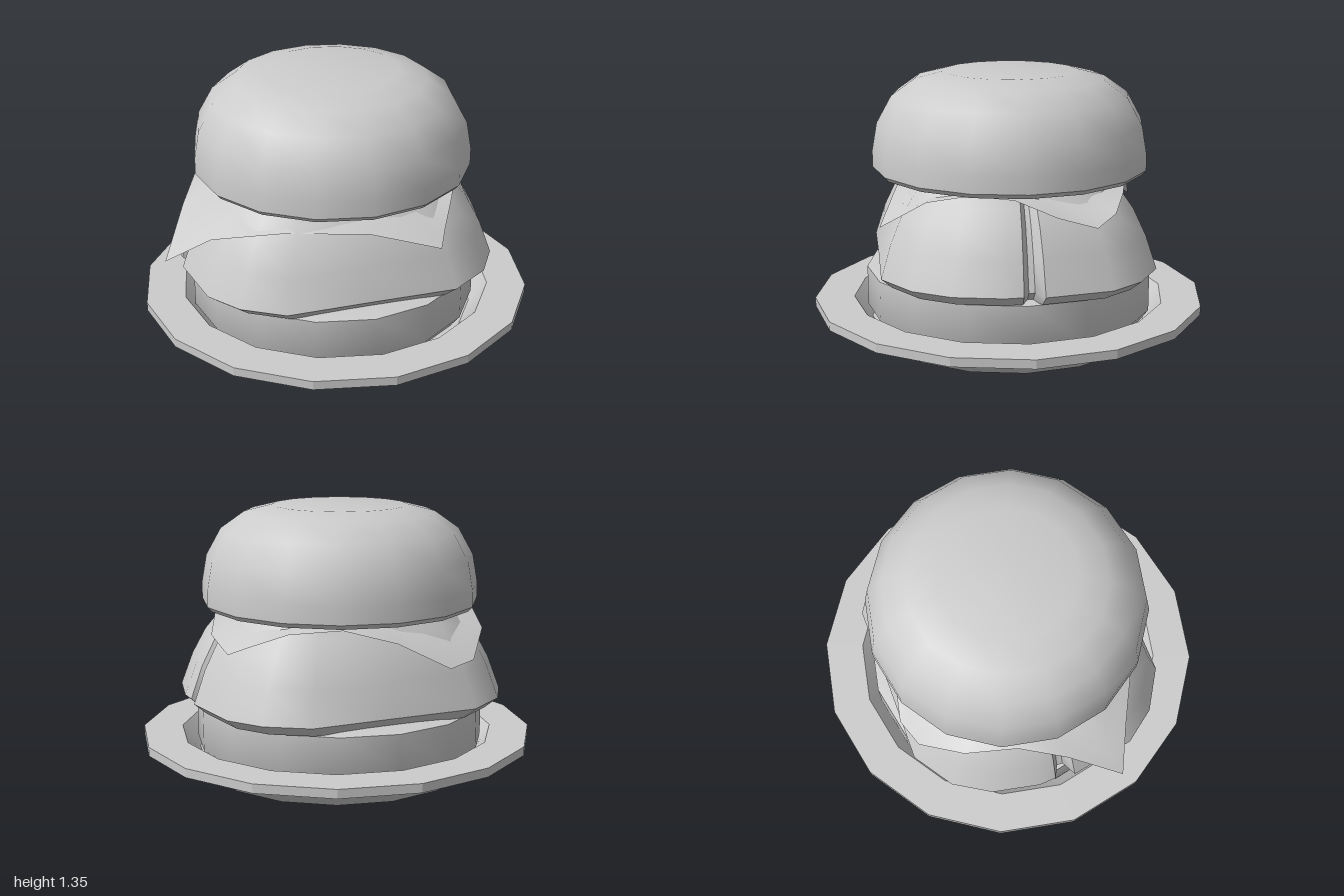
import * as THREE from 'three';
import { toCreasedNormals } from 'three/addons/utils/BufferGeometryUtils.js';

const SIDES = 16;
const material = new THREE.MeshStandardMaterial({ color: 0xcccccc });
const thinMaterial = new THREE.MeshStandardMaterial({ color: 0xcccccc, side: THREE.DoubleSide });

function addMesh(group, name, geometry, crease, mat = material) {
  const mesh = new THREE.Mesh(toCreasedNormals(geometry, crease), mat);
  mesh.name = name;
  group.add(mesh);
  return mesh;
}

// Turned part from [radius, y] pairs, bottom to top
function turned(profile) {
  return new THREE.LatheGeometry(profile.map(([r, y]) => new THREE.Vector2(r, y)), SIDES);
}

// Skin over closed rings of [x, y, z] points, listed bottom to top
function skin(rings) {
  const n = rings[0].length;
  const index = [];
  for (let j = 0; j < rings.length - 1; j++) {
    for (let i = 0; i < n; i++) {
      const k = (i + 1) % n;
      const a = j * n + i, b = j * n + k, c = b + n, d = a + n;
      index.push(a, b, d, b, c, d);
    }
  }
  const geometry = new THREE.BufferGeometry();
  geometry.setAttribute('position', new THREE.Float32BufferAttribute(rings.flat(2), 3));
  geometry.setIndex(index);
  geometry.computeVertexNormals();
  return geometry;
}

// Filling: flat front and back, a narrow notch in each side
function fillingGeometry() {
  const half = [
    [0, 0.675], [0.43, 0.675], [0.63, 0.54], [0.74, 0.36], [0.79, 0.12], [0.785, 0.03], [0.725, 0],
    [0.725, -0.03], [0.8, -0.07], [0.74, -0.4], [0.62, -0.56], [0.42, -0.68],
  ];
  const outline = [...half, ...half.map(([x, z]) => [-x, -z])];
  const levels = [
    [0, 0.35], [0.92, 0.35], [1, 0.405], [0.925, 0.57], [0.84, 0.7], [0.76, 0.78], [0.69, 0.845], [0, 0.85],
  ];
  return skin(levels.map(([s, y]) => outline.map(([x, z]) => [x * s - 0.015, y, z * s - 0.005])));
}

// Cheese: a thin slice with four drooping corners, flat in the middle
function cheeseGeometry() {
  const rim = [
    [0.33, 0.64, 0.67], [0.38, 0.7, 0.58], [0.46, 0.79, 0.45], [0.56, 0.84, 0.25], [0.63, 0.83, 0.05],
    [0.71, 0.76, -0.14], [0.69, 0.7, -0.33], [0.62, 0.75, -0.43], [0.45, 0.81, -0.5], [0.2, 0.82, -0.56],
    [-0.05, 0.75, -0.63], [-0.3, 0.62, -0.69], [-0.45, 0.64, -0.64], [-0.6, 0.75, -0.45], [-0.68, 0.8, -0.2],
    [-0.79, 0.73, 0.02], [-0.93, 0.56, 0.27], [-0.72, 0.69, 0.36], [-0.4, 0.755, 0.52], [0, 0.725, 0.59],
  ];
  const top = 0.856;
  const rings = [1, 0.92, 0.84, 0.76, 0.68, 0.55, 0].map((t) => {
    const droop = Math.pow(Math.max(0, (t - 0.55) / 0.45), 1.3);
    return rim.map(([x, y, z]) => [x * t, top - (top - y) * droop, z * t]);
  });
  return skin(rings);
}

export function createModel() {
  const burger = new THREE.Group();
  burger.name = 'burgerOnPlate';

  // Plate with a sunken middle
  addMesh(burger, 'plate', turned([
    [0, 0], [0.69, 0], [0.76, 0.06], [1, 0.145], [1, 0.19], [0.8, 0.19], [0.71, 0.08], [0, 0.08],
  ]), 0.35);

  // Bottom bun
  const bottomBun = addMesh(burger, 'bottomBun', turned([
    [0, 0.08], [0.69, 0.08], [0.735, 0.14], [0.735, 0.345], [0.66, 0.362], [0, 0.362],
  ]), 0.75);
  bottomBun.position.set(-0.015, 0, -0.005);

  addMesh(burger, 'filling', fillingGeometry(), 0.7);
  addMesh(burger, 'cheese', cheeseGeometry(), 1, thinMaterial);

  // Domed top bun
  const topBun = addMesh(burger, 'topBun', turned([
    [0, 0.845], [0.68, 0.845], [0.7, 0.868], [0.7, 0.95], [0.675, 1.09], [0.6, 1.225],
    [0.48, 1.31], [0.34, 1.345], [0, 1.347],
  ]), 0.65);
  topBun.position.set(-0.015, 0, -0.01);

  return burger;
}
